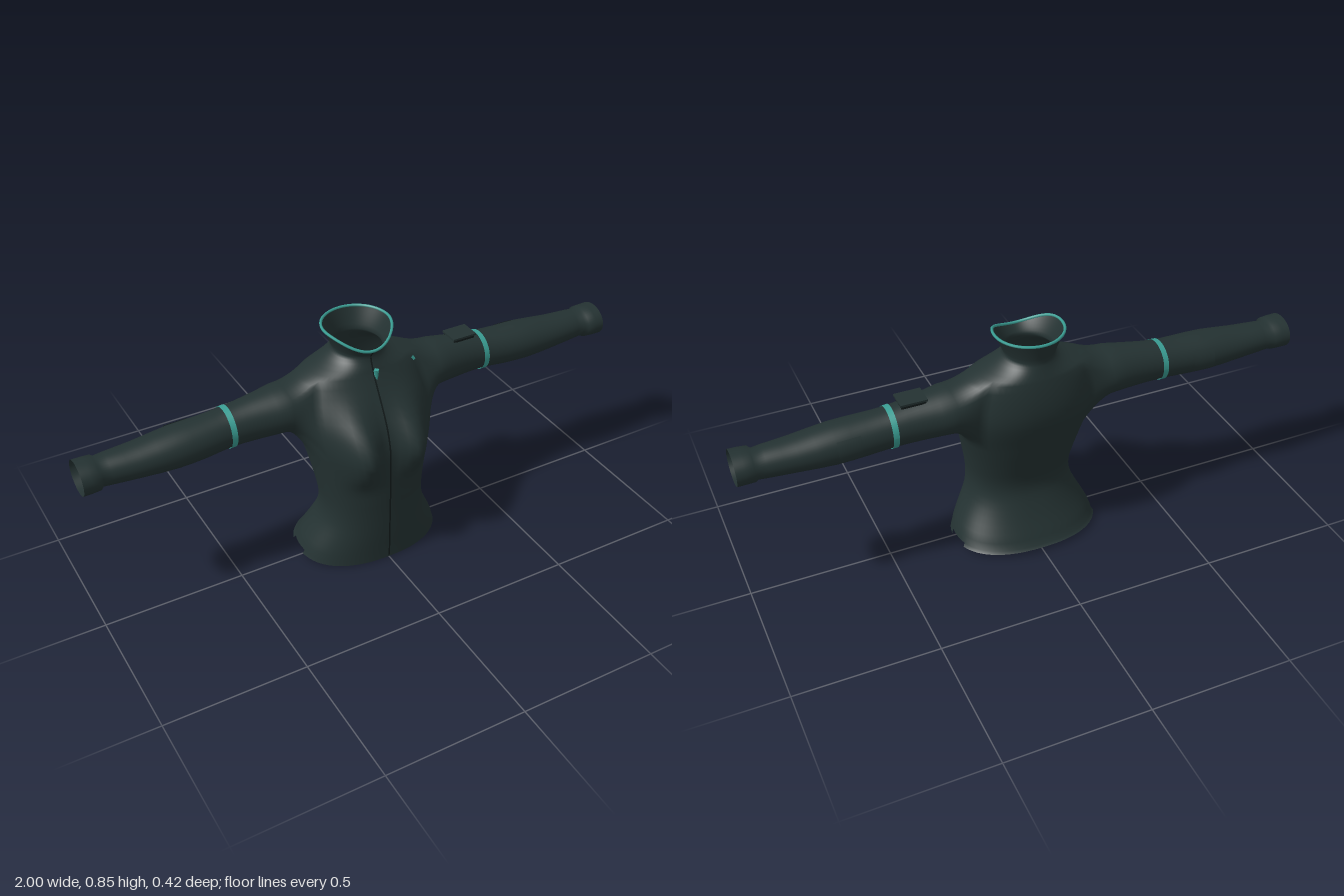
import * as THREE from 'three';

const mat = (name, color, side = THREE.DoubleSide) => {
  const m = new THREE.MeshStandardMaterial({ color, side });
  m.name = name;
  return m;
};

// Smooth lookup in a table of rows [key, value, value, ...]
function sample(table, k) {
  const n = table.length;
  let i = 0;
  while (i < n - 2 && k > table[i + 1][0]) i++;
  const a = table[i], b = table[i + 1], p = table[Math.max(i - 1, 0)], q = table[Math.min(i + 2, n - 1)];
  const h = b[0] - a[0], t = THREE.MathUtils.clamp((k - a[0]) / h, 0, 1), t2 = t * t, t3 = t2 * t;
  return a.slice(1).map((v, j) => {
    const w = b[j + 1], m0 = (w - p[j + 1]) / (b[0] - p[0]) * h, m1 = (q[j + 1] - v) / (q[0] - a[0]) * h;
    return v * (2 * t3 - 3 * t2 + 1) + m0 * (t3 - 2 * t2 + t) + w * (3 * t2 - 2 * t3) + m1 * (t3 - t2);
  });
}

// Torso: height, half width, front z at the centre, back z, bust fullness
const BODY = [
  [0, 0.265, 0.165, -0.205, 0], [0.05, 0.25, 0.165, -0.182, 0], [0.1, 0.225, 0.166, -0.155, 0],
  [0.16, 0.197, 0.166, -0.128, 0], [0.21, 0.187, 0.166, -0.112, 0], [0.26, 0.188, 0.167, -0.114, 0],
  [0.33, 0.199, 0.168, -0.134, 0.003], [0.4, 0.213, 0.165, -0.156, 0.04], [0.46, 0.228, 0.161, -0.173, 0.064],
  [0.5, 0.238, 0.153, -0.185, 0.062], [0.55, 0.243, 0.137, -0.197, 0.045], [0.6, 0.242, 0.113, -0.2, 0.022],
  [0.66, 0.233, 0.079, -0.194, 0.003], [0.71, 0.212, 0.05, -0.183, 0], [0.725, 0.165, 0.044, -0.178, 0],
  [0.74, 0.125, 0.037, -0.173, 0], [0.755, 0.098, 0.031, -0.168, 0], [0.77, 0.085, 0.028, -0.164, 0],
];
// Sleeve: x, top y, bottom y, front z, back z
const SLEEVE = [
  [0.3, 0.695, 0.53, 0.03, -0.155], [0.4, 0.68, 0.53, 0.012, -0.14], [0.49, 0.667, 0.53, 0.005, -0.135],
  [0.58, 0.661, 0.523, 0.012, -0.135], [0.68, 0.657, 0.52, 0.016, -0.137], [0.8, 0.643, 0.527, 0.008, -0.128],
  [0.9, 0.637, 0.533, -0.002, -0.12], [0.93, 0.633, 0.536, -0.004, -0.118], [0.94, 0.64, 0.531, 0.009, -0.125],
  [1, 0.642, 0.53, 0.013, -0.126],
];
const N = 64, C0 = 10, C1 = 23;          // columns round the body; armhole columns
const LOWER = 18, ARM = 10, YOKE = 6, COLLAR = 5;

function bodyPoint(y, th) {
  const [hw, zf, zb, bust] = sample(BODY, y);
  const p = THREE.MathUtils.lerp(0.86, 1, THREE.MathUtils.smoothstep(y, 0.55, 0.74));
  const s = Math.sin(th), c = Math.cos(th);
  const x = hw * Math.sign(s) * Math.abs(s) ** p;
  let z = (zf + zb) / 2 + (zf - zb) / 2 * Math.sign(c) * Math.abs(c) ** p;
  if (c > 0) z += bust * Math.exp(-(((Math.abs(x) - 0.097) / 0.058) ** 2)) * Math.min(1, c * 2);
  return [x, y, z];
}

// Flared collar, lowest at the front
function collarPoint(v, th) {
  const c = Math.cos(th), top = 0.848 - 0.046 * Math.max(0, c) ** 2.5;
  const f = v ** 1.2, hw = 0.085 + 0.033 * f, zf = 0.028 + 0.024 * f, zb = -0.164 - 0.02 * f;
  return [hw * Math.sin(th), 0.77 + (top - 0.77) * v, (zf + zb) / 2 + (zf - zb) / 2 * c];
}

function sleevePoint(x, a, off = 0) {
  const [t, b, f, k] = sample(SLEEVE, x);
  return [x, (t + b) / 2 + ((t - b) / 2 + off) * Math.sin(a), (f + k) / 2 - ((f - k) / 2 + off) * Math.cos(a)];
}

function geometryOf(pos, idx) {
  const g = new THREE.BufferGeometry();
  g.setAttribute('position', new THREE.Float32BufferAttribute(pos.flat(), 3));
  g.setIndex(idx);
  g.computeVertexNormals();
  return g;
}

// Grid surface from a function of two steps
function sheet(nu, nv, fn) {
  const pos = [], idx = [];
  for (let i = 0; i <= nu; i++) for (let j = 0; j <= nv; j++) pos.push(fn(i / nu, j / nv));
  for (let i = 0; i < nu; i++) for (let j = 0; j < nv; j++) {
    const a = i * (nv + 1) + j, d = a + nv + 1;
    idx.push(a, a + 1, d, a + 1, d + 1, d);
  }
  return geometryOf(pos, idx);
}

// One continuous shell: torso, collar and sleeves joined at the armholes
function shellGeometry() {
  const pos = [], idx = [];
  const quad = (a, b, d, e, flip) => flip ? idx.push(a, d, b, b, d, e) : idx.push(a, b, d, b, e, d);
  const ys = [0];
  for (let i = 0; i <= LOWER; i++) ys.push(0.024 + (0.46 - 0.024) * i / LOWER);
  for (let i = 1; i <= ARM; i++) ys.push(0.46 + 0.25 * i / ARM);
  for (let i = 1; i <= YOKE; i++) ys.push(0.71 + 0.06 * i / YOKE);
  const R0 = LOWER + 1, R1 = R0 + ARM, rows = ys.length + COLLAR;
  for (let r = 0; r < rows; r++) for (let c = 0; c < N; c++) {
    const th = c / N * Math.PI * 2;
    const p = r < ys.length ? bodyPoint(ys[r], th) : collarPoint((r - ys.length + 1) / COLLAR, th);
    if (r === 0) p[1] = 0.01 - p[2] * 0.04;   // hem rises toward the back
    pos.push(p);
  }
  for (let r = 0; r < rows - 1; r++) for (let c = 0; c < N; c++) {
    const m = c < N / 2 ? c : N - 1 - c;      // same column on the model's left
    if (r >= R0 && r < R1 && m >= C0 && m < C1) continue;            // armhole
    if (r === 0 && m >= 15 && m < 19) continue;                      // side vent
    const a = r * N + c, b = r * N + (c + 1) % N;
    quad(a, b, a + N, b + N);
  }
  // Armhole outline, then rings out to the cuff
  const loop = [];
  for (let c = C0; c < C1; c++) loop.push([R0, c]);
  for (let r = R0; r < R1; r++) loop.push([r, C1]);
  for (let c = C1; c > C0; c--) loop.push([R1, c]);
  for (let r = R1; r > R0; r--) loop.push([r, C0]);
  const L = loop.length, a0 = -Math.PI / 2 - Math.PI * (C1 - C0) / L;
  const xs = [0.33, 0.36, 0.4, 0.44, 0.49, 0.53, 0.58, 0.63, 0.68, 0.74, 0.8, 0.85, 0.9, 0.93, 0.94, 0.97, 1];
  for (const side of [1, -1]) {
    let prev = loop.map(([r, c]) => r * N + (side > 0 ? c : N - c));
    const hole = prev.map(i => pos[i]);
    const addRing = fn => {
      const ring = hole.map((h, i) => pos.push(fn(h, a0 + i / L * Math.PI * 2)) - 1);
      for (let i = 0; i < L; i++) {
        const k = (i + 1) % L;
        quad(prev[i], prev[k], ring[i], ring[k], side < 0);
      }
      prev = ring;
    };
    for (let s = 1; s <= 6; s++) addRing((h, a) => {
      const t = s / 6, e = t * (2 - t), q = sleevePoint(0.3, a);
      return [h[0] + (side * q[0] - h[0]) * t, h[1] + (q[1] - h[1]) * e, h[2] + (q[2] - h[2]) * e];
    });
    for (const x of xs) addRing((h, a) => {
      const q = sleevePoint(x, a);
      return [side * q[0], q[1], q[2]];
    });
  }
  return geometryOf(pos, idx);
}

export function createModel() {
  const model = new THREE.Group();
  model.name = 'pullover';
  const cloth = mat('darkCloth', 0x243232), teal = mat('tealTrim', 0x3a9e94), seam = mat('darkSeam', 0x131b1b);
  const add = (name, geo, material, parent = model) => {
    const m = new THREE.Mesh(geo, material);
    m.name = name;
    parent.add(m);
    return m;
  };

  add('shell', shellGeometry(), cloth);

  // Trim round the collar edge
  const edge = Array.from({ length: 40 }, (_, i) => new THREE.Vector3(...collarPoint(1, i / 40 * Math.PI * 2)));
  add('collarTrim', new THREE.TubeGeometry(new THREE.CatmullRomCurve3(edge, true), 80, 0.005, 6, true), teal);

  // Front zip and its pull
  add('frontZip', sheet(50, 1, (u, v) => {
    const y = 0.012 + u * 0.755;
    return [(v - 0.5) * 0.006, y, bodyPoint(y, 0)[2] + 0.003];
  }), seam);
  add('collarZip', sheet(6, 1, (u, v) => {
    const p = collarPoint(u, 0);
    return [(v - 0.5) * 0.006, p[1], p[2] + 0.003];
  }), seam);
  const pull = add('zipPull', new THREE.CylinderGeometry(0.011, 0.005, 0.042, 4), teal);
  pull.position.set(0.008, 0.708, 0.055);

  // Small chest tab
  add('chestTab', sheet(2, 2, (u, v) => {
    const p = bodyPoint(0.694 + v * 0.012, 0.88 + u * 0.1);
    return [p[0], p[1], p[2] + 0.004];
  }), teal);

  // Sleeve bands and elbow patches on both sides
  for (const side of [1, -1]) {
    const g = new THREE.Group();
    g.name = side > 0 ? 'leftSleeveDetails' : 'rightSleeveDetails';
    const mirror = ([x, y, z]) => [side * x, y, z];
    add('sleeveBand', sheet(2, 48, (u, v) => mirror(sleevePoint(0.478 + u * 0.02, v * Math.PI * 2, 0.003))), teal, g);
    add('elbowPatch', sheet(4, 10, (u, v) => mirror(sleevePoint(0.6 + u * 0.08, -0.45 + v * 1.1, 0.004))), cloth, g);
    model.add(g);
  }

  // Flat flap on the left upper arm
  const flap = add('armFlap', new THREE.BoxGeometry(0.092, 0.007, 0.074), cloth);
  flap.position.set(0.411, 0.689, -0.064);
  const rim = add('armFlapSeam', new THREE.BoxGeometry(0.084, 0.012, 0.066), seam);
  rim.position.set(0.411, 0.681, -0.064);

  return model;
}
